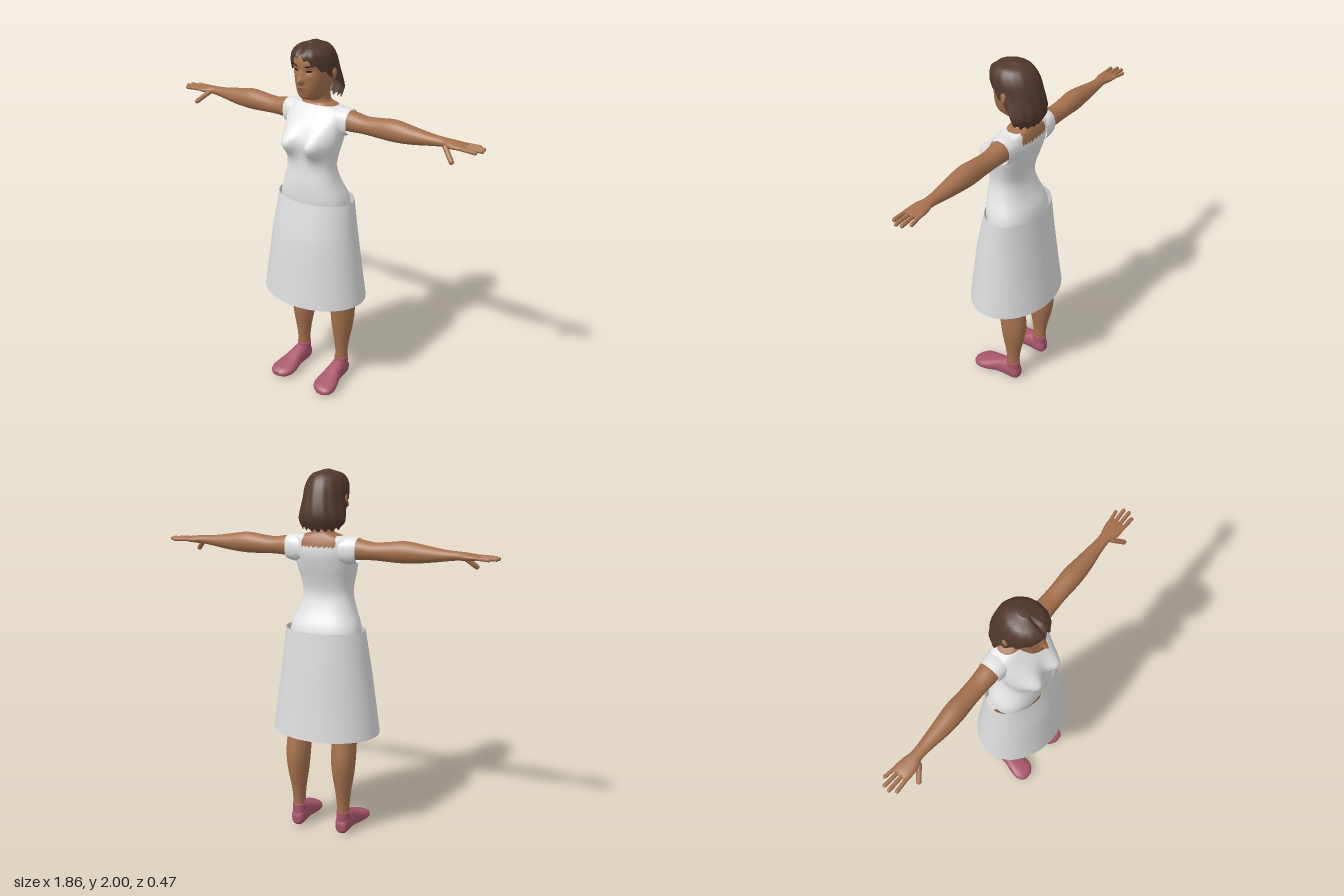
import * as THREE from 'three';

const mat = (name, color, double = false) => {
  const m = new THREE.MeshStandardMaterial({ color, side: double ? THREE.DoubleSide : THREE.FrontSide });
  m.name = name;
  return m;
};

// Catmull-Rom sampling of a table of cross-sections, u in 0..rows-1
function sample(table, u) {
  const last = table.length - 1;
  const i = Math.min(Math.floor(u), last - 1), t = u - i;
  const [p, q, r, s] = [i - 1, i, i + 1, i + 2].map(k => table[Math.max(0, Math.min(last, k))]);
  return q.map((_, k) => q[k] + 0.5 * t * (r[k] - p[k] + t * (2 * p[k] - 5 * q[k] + 4 * r[k] - s[k]
    + t * (3 * (q[k] - r[k]) + s[k] - p[k]))));
}

// Row of a table at a given position along its axis
function sampleAt(table, pos) {
  let i = 0;
  while (i < table.length - 2 && table[i + 1][0] < pos) i++;
  const t = (pos - table[i][0]) / (table[i + 1][0] - table[i][0]);
  return sample(table, i + Math.max(0, Math.min(1, t)));
}

const bend = (v, p) => Math.sign(v) * Math.abs(v) ** (2 / p);

// Joins closed rings into a smooth skin; pick(v) chooses a material index per face
function joinRings(rings, { caps = [false, false], mirror = false, pick = () => 0 } = {}) {
  const n = rings[0].length, verts = rings.flat(), faces = [[], []];
  const tri = (a, b, c) => {
    const mid = verts[a].clone().add(verts[b]).add(verts[c]).divideScalar(3);
    faces[pick(mid)].push(...(mirror ? [a, c, b] : [a, b, c]));
  };
  for (let i = 0; i < rings.length - 1; i++) for (let j = 0; j < n; j++) {
    const a = i * n + j, b = i * n + (j + 1) % n;
    tri(a, b, b + n);
    tri(a, b + n, a + n);
  }
  [0, rings.length - 1].forEach((r, end) => {
    if (!caps[end]) return;
    const c = verts.length;
    verts.push(rings[r].reduce((s, v) => s.add(v), new THREE.Vector3()).divideScalar(n));
    for (let j = 0; j < n; j++) {
      const a = r * n + j, b = r * n + (j + 1) % n;
      end ? tri(a, b, c) : tri(b, a, c);
    }
  });
  if (mirror) verts.forEach(v => { v.x *= -1; });
  const g = new THREE.BufferGeometry().setFromPoints(verts);
  g.setIndex([...faces[0], ...faces[1]]);
  if (faces[1].length) {
    g.addGroup(0, faces[0].length, 0);
    g.addGroup(faces[0].length, faces[1].length, 1);
  }
  g.computeVertexNormals();
  return g;
}

// Loft along an axis; rows are [position, aMin, aMax, bMin, bMax]
// with (a, b) = (y, z) along x, (z, x) along y, (x, y) along z
function loft(axis, table, { n = 24, steps = 4, power = 2, warp, ...rest } = {}) {
  const rings = [], count = (table.length - 1) * steps;
  for (let i = 0; i <= count; i++) {
    const [pos, a0, a1, b0, b1] = sample(table, i / steps);
    rings.push(Array.from({ length: n }, (_, j) => {
      const th = j / n * Math.PI * 2;
      const a = (a0 + a1) / 2 + (a1 - a0) / 2 * bend(Math.cos(th), power);
      const b = (b0 + b1) / 2 + (b1 - b0) / 2 * bend(Math.sin(th), power);
      const v = axis === 'x' ? new THREE.Vector3(pos, a, b)
        : axis === 'y' ? new THREE.Vector3(b, pos, a) : new THREE.Vector3(a, b, pos);
      if (warp) warp(v, j, i === count);
      return v;
    }));
  }
  return joinRings(rings, rest);
}

const gauss = (d, s) => Math.exp(-((d / s) ** 2));
const sym = rows => rows.map(([y, zb, zf, hx]) => [y, zb, zf, -hx, hx]);

const HEAD = sym([
  [1.702, -0.06, 0.04, 0.03], [1.72, -0.08, 0.098, 0.048], [1.745, -0.09, 0.117, 0.062],
  [1.785, -0.1, 0.121, 0.077], [1.83, -0.11, 0.121, 0.089], [1.87, -0.115, 0.12, 0.095],
  [1.91, -0.112, 0.121, 0.096], [1.95, -0.095, 0.105, 0.082], [1.98, -0.06, 0.065, 0.045]]);
const HAIR = sym([
  [1.69, -0.125, 0.06, 0.112], [1.75, -0.153, 0.08, 0.132], [1.8, -0.152, 0.1, 0.125],
  [1.86, -0.138, 0.125, 0.116], [1.91, -0.122, 0.138, 0.113], [1.95, -0.102, 0.138, 0.1],
  [1.98, -0.072, 0.105, 0.075], [2.0, -0.02, 0.04, 0.02]]);
const HAIRLINE = [[0, 1.95], [15, 1.93], [35, 1.9], [55, 1.87], [75, 1.835], [92, 1.8], [108, 1.72], [140, 1.705], [181, 1.7]];

// Nose, lips and eye sockets
const faceRelief = (x, y) => 0.032 * gauss(x, 0.014) * gauss(y - 1.818, 0.016)
  + 0.014 * gauss(x, 0.011) * gauss(y - 1.848, 0.025)
  + 0.008 * gauss(x, 0.025) * gauss(y - 1.779, 0.014)
  - 0.008 * gauss(Math.abs(x) - 0.038, 0.02) * gauss(y - 1.868, 0.014);

export function createModel() {
  const model = new THREE.Group();
  model.name = 'woman';
  const skin = mat('skin', 0xa5714d), shirt = mat('shirt white', 0xe4e4e4, true), skirt = mat('skirt white', 0xdcdcdc, true);
  const hair = mat('hair brown', 0x50382d, true), shoe = mat('shoe pink', 0xa8566a);
  const dark = mat('dark brown', 0x2a1c17), lip = mat('lip', 0x875040);
  const legSkin = mat('leg skin', 0xa5714d, true);
  const add = (name, geometry, material) => {
    const m = new THREE.Mesh(geometry, material);
    m.name = name;
    model.add(m);
    return m;
  };

  // Torso and neck, with the scooped neckline in skin
  add('torso', loft('y', sym([
    [1.12, -0.14, 0.12, 0.2], [1.19, -0.125, 0.13, 0.19], [1.27, -0.088, 0.13, 0.158], [1.35, -0.065, 0.122, 0.138],
    [1.42, -0.075, 0.122, 0.144], [1.5, -0.1, 0.123, 0.162], [1.57, -0.118, 0.1, 0.168], [1.62, -0.117, 0.062, 0.17],
    [1.655, -0.108, 0.03, 0.16], [1.675, -0.1, 0.015, 0.09], [1.69, -0.095, 0.012, 0.057], [1.75, -0.085, 0.02, 0.052]]), {
    n: 48, steps: 4, power: 2.4,
    warp: v => {
      if (v.z > 0) v.z += 0.064 * gauss(Math.abs(v.x) - 0.078, 0.052) * gauss(v.y - 1.485, 0.065);
    },
    pick: v => (v.y > 1.672 || (v.y > 1.615 && v.z < -0.05 && Math.abs(v.x) < 0.09)) ? 1 : 0,
  }), [shirt, skin]);

  // Open flared skirt
  add('skirt', loft('y', sym([[0.585, -0.232, 0.235, 0.305], [0.76, -0.209, 0.214, 0.281], [0.93, -0.189, 0.192, 0.257],
    [1.03, -0.177, 0.172, 0.243], [1.165, -0.16, 0.139, 0.225]]), { n: 64 }), skirt);

  // Head, with the face details laid on its surface
  add('head', loft('y', HEAD, { n: 80, steps: 6, power: 2.2, caps: [true, true],
    warp: v => { if (v.z > 0.03) v.z += faceRelief(v.x, v.y); } }), skin);
  const facePlate = (name, cx, cy, rx, ry, tilt, material) => {
    const g = new THREE.CircleGeometry(1, 16).scale(rx, ry, 1).rotateZ(tilt).translate(cx, cy, 0);
    const p = g.attributes.position;
    for (let i = 0; i < p.count; i++) {
      const x = p.getX(i), y = p.getY(i), [, zb, zf, , hx] = sampleAt(HEAD, y);
      const round = (1 - Math.abs(x / hx) ** 2.2) ** (1 / 2.2);
      p.setZ(i, (zb + zf) / 2 + (zf - zb) / 2 * round + faceRelief(x, y) + 0.003);
    }
    g.computeVertexNormals();
    add(name, g, material);
  };
  facePlate('mouth', 0, 1.779, 0.025, 0.006, 0, lip);

  // Bobbed hair with a centre parting and a hairline that drops behind the ears
  const rings = [];
  for (let k = 0; k <= 20; k++) rings.push(Array.from({ length: 96 }, (_, j) => {
    const th = j / 96 * Math.PI * 2, deg = Math.abs(j <= 48 ? j : j - 96) * 3.75;
    const low = sampleAt(HAIRLINE, deg)[1] + 0.009 * Math.sin(th * 19);
    const y = low + (2 - low) * (1 - (1 - k / 20) ** 1.7);
    const [, zb, zf, , hx] = sampleAt(HAIR, y);
    const lock = 1 + 0.018 * Math.sin(th * 14 + y * 12) * (1 - k / 20);
    const part = 0.012 * gauss(deg, 10) * Math.sin(k / 20 * Math.PI);
    return new THREE.Vector3(hx * lock * Math.sin(th), y - part, (zb + zf) / 2 + (zf - zb) / 2 * lock * Math.cos(th));
  }));
  add('hair', joinRings(rings, { caps: [false, true] }), hair);

  for (const s of [1, -1]) {
    const side = s > 0 ? 'left' : 'right', mirror = s < 0;
    facePlate(side + 'Eye', s * 0.039, 1.868, 0.015, 0.0055, s * 0.1, dark);
    facePlate(side + 'Eyebrow', s * 0.041, 1.894, 0.021, 0.004, s * 0.15, dark);
    const ear = add(side + 'Ear', new THREE.SphereGeometry(1, 16, 12), skin);
    ear.scale.set(0.014, 0.034, 0.02);
    ear.position.set(s * 0.108, 1.85, -0.005);

    // Cap sleeve and arm
    add(side + 'Sleeve', loft('x', [[0.11, 1.53, 1.664, -0.11, 0.03], [0.16, 1.525, 1.668, -0.108, 0.028],
      [0.198, 1.535, 1.664, -0.1, 0.02]], { mirror, power: 2.3 }), shirt);
    add(side + 'Arm', loft('x', [
      [0.14, 1.55, 1.655, -0.095, 0.013], [0.2, 1.55, 1.658, -0.095, 0.013], [0.28, 1.554, 1.646, -0.091, 0.008],
      [0.36, 1.551, 1.652, -0.09, 0.008], [0.45, 1.549, 1.661, -0.093, 0.012], [0.55, 1.557, 1.647, -0.085, 0.006],
      [0.65, 1.572, 1.632, -0.076, -0.008], [0.72, 1.582, 1.627, -0.072, -0.012], [0.76, 1.583, 1.624, -0.082, 0.002],
      [0.81, 1.588, 1.618, -0.09, 0.006], [0.84, 1.594, 1.612, -0.085, 0.0]], { mirror, caps: [false, true] }), skin);

    // Fingers and thumb
    const digit = (name, from, to, r) => {
      const a = new THREE.Vector3(...from), b = new THREE.Vector3(...to);
      a.x *= s;
      b.x *= s;
      const dir = b.clone().sub(a), len = dir.length();
      const m = add(side + name, new THREE.CapsuleGeometry(r, len - 2 * r, 4, 10), skin);
      m.position.copy(a).lerp(b, 0.5);
      m.quaternion.setFromUnitVectors(new THREE.Vector3(0, 1, 0), dir.normalize());
    };
    digit('LittleFinger', [0.8, 1.604, -0.077], [0.893, 1.6, -0.092], 0.009);
    digit('RingFinger', [0.8, 1.605, -0.055], [0.925, 1.602, -0.064], 0.01);
    digit('MiddleFinger', [0.8, 1.605, -0.03], [0.93, 1.602, -0.034], 0.01);
    digit('IndexFinger', [0.8, 1.604, -0.007], [0.91, 1.6, -0.002], 0.01);
    digit('Thumb', [0.735, 1.602, -0.015], [0.808, 1.537, 0.037], 0.013);

    // Lower leg with a ragged upper end hidden by the skirt
    add(side + 'Leg', loft('y', [
      [0.09, -0.112, -0.035, 0.102, 0.168], [0.17, -0.114, -0.036, 0.1, 0.17], [0.25, -0.126, -0.026, 0.093, 0.178],
      [0.35, -0.148, -0.01, 0.078, 0.194], [0.45, -0.155, 0.0, 0.069, 0.203], [0.58, -0.135, 0.02, 0.066, 0.202],
      [0.69, -0.128, 0.032, 0.062, 0.205]],
    { mirror, n: 28, warp: (v, j, end) => { if (end) v.y += j % 2 ? 0.03 : -0.02; } }), legSkin);

    // Shoe and ankle cuff
    add(side + 'Shoe', loft('z', [
      [-0.12, 0.115, 0.155, 0.025, 0.07], [-0.1, 0.098, 0.172, 0.006, 0.105], [-0.05, 0.094, 0.178, 0.003, 0.125],
      [0.01, 0.092, 0.186, 0.006, 0.108], [0.07, 0.082, 0.205, 0.0, 0.083], [0.12, 0.08, 0.216, 0.0, 0.066],
      [0.155, 0.098, 0.208, 0.004, 0.054], [0.178, 0.13, 0.185, 0.015, 0.04]],
    { mirror, power: 2.3, caps: [true, true] }), shoe);
    add(side + 'ShoeCuff', loft('y', [[0.05, -0.116, -0.01, 0.096, 0.174], [0.1, -0.117, -0.025, 0.097, 0.173],
      [0.135, -0.117, -0.031, 0.098, 0.172]], { mirror, caps: [false, true] }), shoe);
  }
  return model;
}
